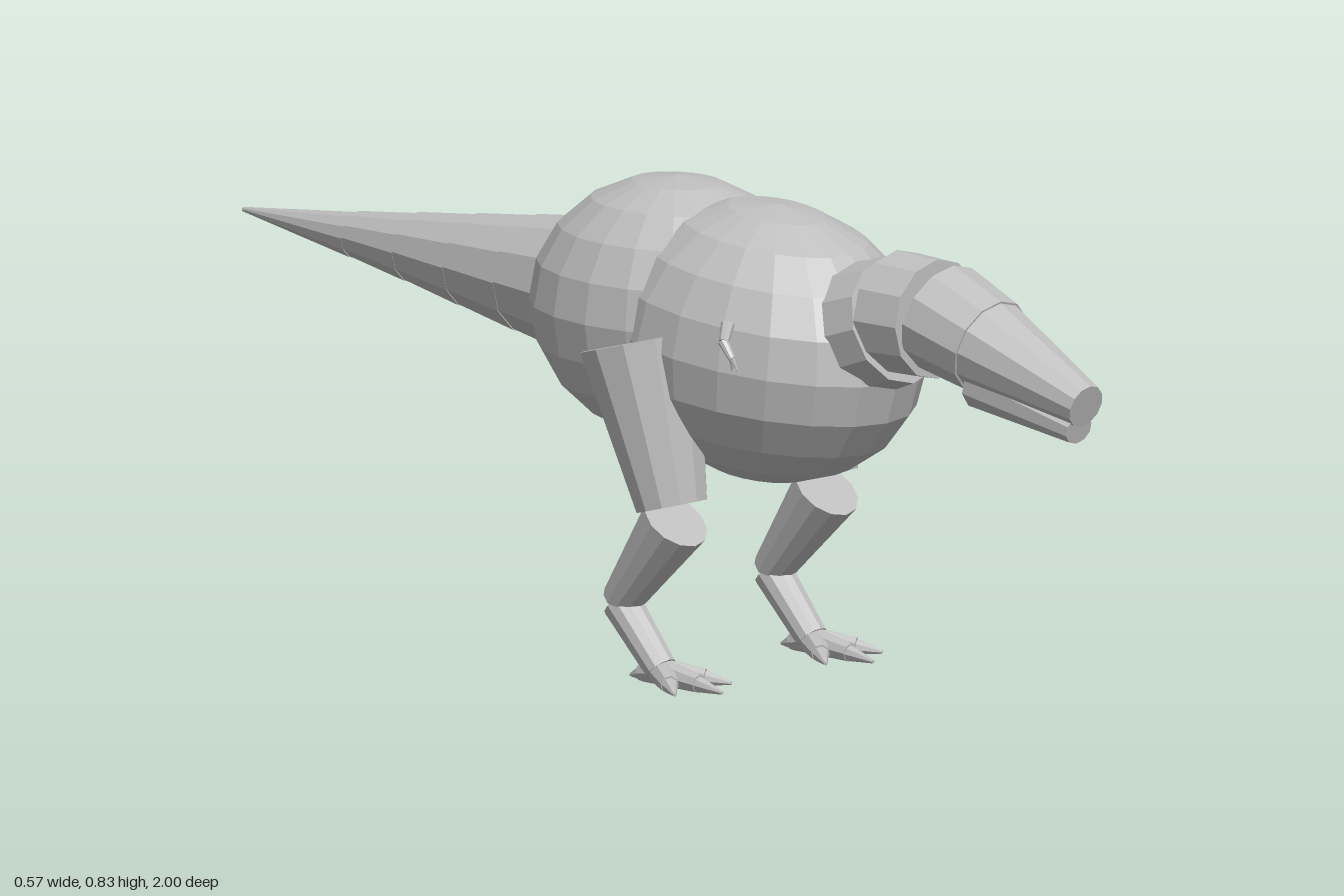
import * as THREE from 'three';

export function createModel() {
  const model = new THREE.Group();
  model.name = 'dinosaur';
  const skin = new THREE.MeshStandardMaterial({ color: 0xbebebe, flatShading: true });
  skin.name = 'light grey skin';

  function add(parent, name, geometry) {
    const mesh = new THREE.Mesh(geometry, skin);
    mesh.name = name;
    parent.add(mesh);
    return mesh;
  }

  // Tapered round segment running from point a to point b
  function limb(parent, name, a, b, ra, rb, sides = 12) {
    const from = new THREE.Vector3(...a);
    const to = new THREE.Vector3(...b);
    const dir = to.clone().sub(from);
    const mesh = add(parent, name, new THREE.CylinderGeometry(rb, ra, dir.length(), sides));
    mesh.position.copy(from).add(to).multiplyScalar(0.5);
    mesh.quaternion.setFromUnitVectors(new THREE.Vector3(0, 1, 0), dir.normalize());
    return mesh;
  }

  // Body: chest and hips as two stretched spheres
  function ball(name, y, z, rx, ry, rz, tilt) {
    const mesh = add(model, name, new THREE.SphereGeometry(1, 20, 10));
    mesh.scale.set(rx, ry, rz);
    mesh.position.set(0, y, z);
    mesh.rotation.x = tilt;
  }
  ball('chest', 0.579, 0.237, 0.226, 0.237, 0.308, 0.1);
  ball('hips', 0.605, 0.025, 0.221, 0.226, 0.275, 0);

  // Tail: a chain of tapering segments, each set slightly below the last
  const tail = [
    [-0.17, 0.611, 0.122], [-0.31, 0.612, 0.102], [-0.45, 0.614, 0.081],
    [-0.59, 0.616, 0.06], [-0.73, 0.617, 0.04], [-1, 0.62, 0.004]
  ];
  for (let i = 0; i < tail.length - 1; i++) {
    const [z0, y0, r0] = tail[i];
    const [z1, y1, r1] = tail[i + 1];
    limb(model, 'tailSegment', [0, y0 - 0.002, z0], [0, y1, z1], r0, r1);
  }

  // Neck: arched segments with wedge gaps on top
  limb(model, 'neckBase', [0, 0.622, 0.44], [0, 0.658, 0.548], 0.115, 0.109);
  limb(model, 'neckMiddle', [0, 0.672, 0.545], [0, 0.673, 0.64], 0.106, 0.102);

  // Head and jaw
  limb(model, 'skull', [0, 0.68, 0.65], [0, 0.645, 0.765], 0.095, 0.084);
  limb(model, 'snout', [0, 0.65, 0.75], [0, 0.575, 0.99], 0.083, 0.038);
  const jaw = limb(model, 'lowerJaw', [0, 0.585, 0.755], [0, 0.533, 0.973], 0.05, 0.026, 10);
  jaw.scale.x = 1.15;

  for (const side of [1, -1]) {
    const label = side > 0 ? 'left' : 'right';
    const x = 0.18 * side;

    // Leg
    const leg = new THREE.Group();
    leg.name = label + 'Leg';
    model.add(leg);
    limb(leg, 'thigh', [x, 0.585, 0.114], [x, 0.313, 0.19], 0.105, 0.062);
    limb(leg, 'shin', [x, 0.29, 0.2], [x, 0.135, 0.071], 0.059, 0.034);
    limb(leg, 'ankle', [x, 0.13, 0.072], [x, 0.03, 0.165], 0.034, 0.028);

    // Foot: three front toes and one hind toe, each with a claw
    for (const [angle, reach] of [[-0.6, 0.075], [0, 0.09], [0.6, 0.075], [Math.PI, 0.045]]) {
      const at = (d, y) => [x + Math.sin(angle) * d, y, 0.165 + Math.cos(angle) * d];
      limb(leg, 'toe', at(0, 0.026), at(reach, 0.018), 0.024, 0.016, 8);
      limb(leg, 'claw', at(reach, 0.017), at(reach * 1.6, 0.01), 0.014, 0.003, 8);
    }

    // Tiny arm
    const arm = new THREE.Group();
    arm.name = label + 'Arm';
    model.add(arm);
    limb(arm, 'upperArm', [0.203 * side, 0.652, 0.345], [0.219 * side, 0.625, 0.352], 0.012, 0.009, 8);
    limb(arm, 'forearm', [0.219 * side, 0.625, 0.35], [0.221 * side, 0.598, 0.373], 0.009, 0.006, 8);
    for (const dz of [-0.006, 0.008]) {
      limb(arm, 'finger', [0.221 * side, 0.6, 0.372], [0.218 * side, 0.577, 0.376 + dz], 0.005, 0.001, 6);
    }
  }
  return model;
}
